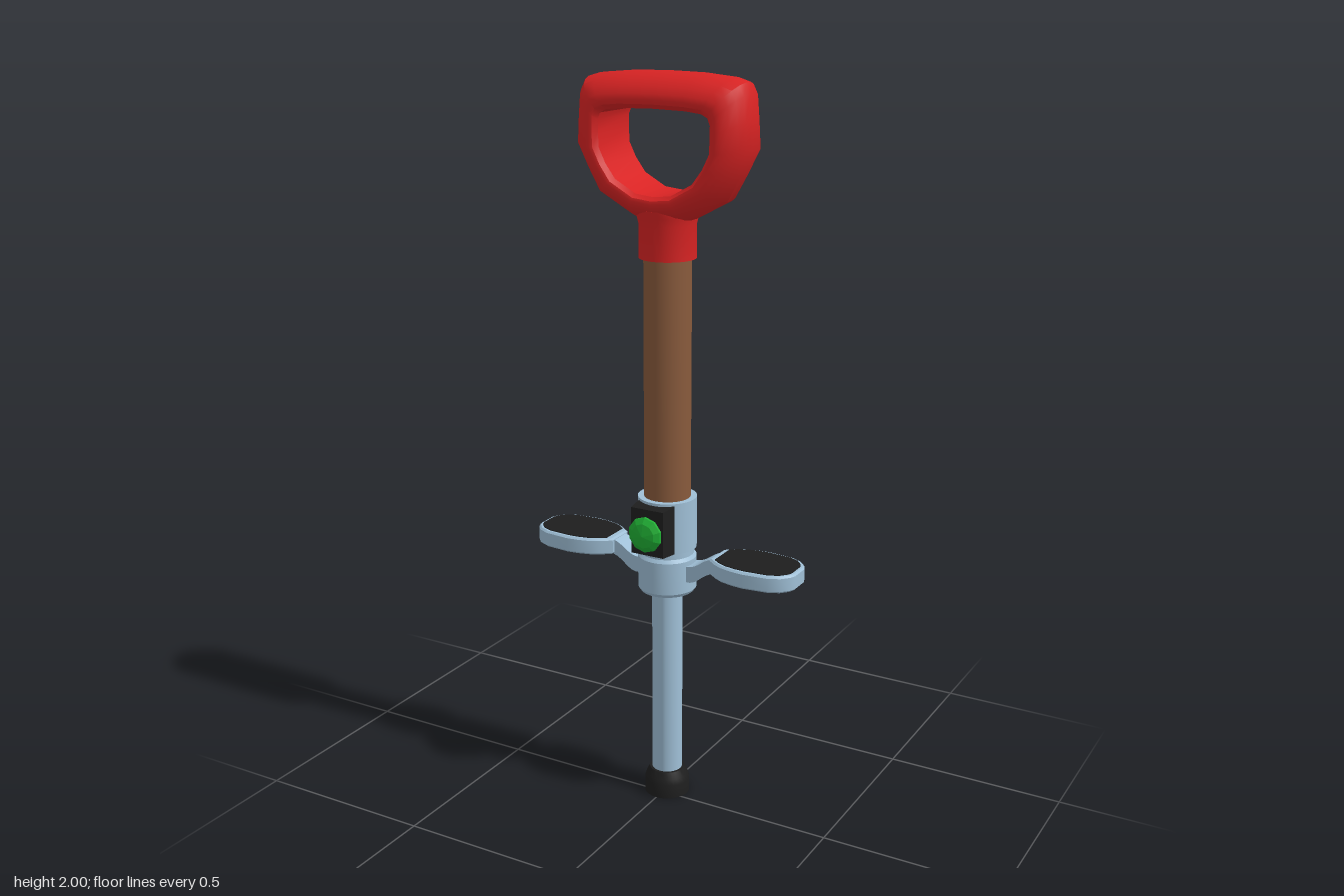
import * as THREE from 'three';
import { toCreasedNormals } from 'three/addons/utils/BufferGeometryUtils.js';

const material = (name, color) => {
  const m = new THREE.MeshStandardMaterial({ color });
  m.name = name;
  return m;
};

// Closed loop of D-shaped sections between an inner and an outer outline
function gripGeometry() {
  const outer = [[0, 2], [0.1, 1.998], [0.19, 1.99], [0.223, 1.98], [0.236, 1.955], [0.242, 1.89],
    [0.247, 1.82], [0.214, 1.755], [0.178, 1.69], [0.075, 1.635], [0, 1.625]];
  const inner = [[0, 1.913], [0.09, 1.911], [0.135, 1.906], [0.152, 1.897], [0.159, 1.88], [0.159, 1.85],
    [0.157, 1.81], [0.138, 1.772], [0.11, 1.735], [0.05, 1.702], [0, 1.697]];
  const mirror = (p) => [...p, ...p.slice(1, -1).reverse().map(([x, y]) => [-x, y])];
  const O = mirror(outer), I = mirror(inner);
  // [fraction from inner to outer, half depth]
  const half = [[0, 0.076], [0.13, 0.089], [0.25, 0.0915], [0.42, 0.088], [0.62, 0.077],
    [0.8, 0.06], [0.93, 0.038], [1, 0.014]];
  const section = [...half, ...half.slice().reverse().map(([t, z]) => [t, -z])];
  const n = O.length, m = section.length, pos = [], idx = [];
  for (let i = 0; i < n; i++) {
    for (const [t, z] of section) {
      pos.push(I[i][0] + (O[i][0] - I[i][0]) * t, I[i][1] + (O[i][1] - I[i][1]) * t, z);
    }
  }
  for (let i = 0; i < n; i++) {
    for (let j = 0; j < m; j++) {
      const a = i * m + j, b = i * m + (j + 1) % m;
      const c = ((i + 1) % n) * m + j, d = ((i + 1) % n) * m + (j + 1) % m;
      idx.push(a, c, b, b, c, d);
    }
  }
  const g = new THREE.BufferGeometry();
  g.setAttribute('position', new THREE.Float32BufferAttribute(pos, 3));
  g.setIndex(idx);
  return toCreasedNormals(g, 0.6);
}

const lathe = (points, sides = 32) => toCreasedNormals(
  new THREE.LatheGeometry(points.map(([r, y]) => new THREE.Vector2(r, y)), sides), 0.5);

// Horizontal plate from an x/z half outline, standing on y
function plate(outline, y, height, bevel) {
  const pts = [...outline, ...outline.slice().reverse().map(([x, z]) => [x, -z])];
  const shape = new THREE.Shape(pts.map(([x, z]) => new THREE.Vector2(x, z)));
  const g = new THREE.ExtrudeGeometry(shape, {
    depth: height - 2 * bevel, bevelEnabled: bevel > 0, bevelSize: bevel,
    bevelOffset: -bevel, bevelThickness: bevel, bevelSegments: 1,
  });
  g.rotateX(-Math.PI / 2).translate(0, y + bevel, 0);
  return toCreasedNormals(g, 0.6);
}

export function createModel() {
  const red = material('red grip', 0xd82323);
  const brown = material('brown shaft', 0x885a3c);
  const steel = material('blue grey metal', 0x9fbfd6);
  const black = material('black rubber', 0x1e1e1e);
  const green = material('green knob', 0x1fae34);

  const model = new THREE.Group();
  model.name = 'pogoStick';
  const add = (name, geometry, mat, parent = model) => {
    const mesh = new THREE.Mesh(geometry, mat);
    mesh.name = name;
    parent.add(mesh);
    return mesh;
  };

  // Handle and shafts
  add('handleGrip', gripGeometry(), red);
  add('handleNeck', lathe([[0, 1.533], [0.075, 1.533], [0.075, 1.622], [0.08, 1.642], [0.083, 1.66], [0, 1.68]]), red);
  add('upperShaft', lathe([[0, 0.87], [0.063, 0.87], [0.063, 1.54], [0, 1.54]]), brown);
  add('lowerTube', lathe([[0, 0.06], [0.042, 0.06], [0.042, 0.64], [0, 0.64]]), steel);
  add('foot', lathe([[0, 0], [0.063, 0], [0.063, 0.04], [0.058, 0.055], [0.049, 0.074], [0, 0.074]]), black);

  // Collar with a groove between its two halves
  add('collar', lathe([[0, 0.618], [0.073, 0.618], [0.08, 0.628], [0.08, 0.718], [0.073, 0.727],
    [0.073, 0.743], [0.08, 0.745], [0.08, 0.888], [0.062, 0.888]]), steel);

  // Clamp block, narrower at its front
  const block = new THREE.BoxGeometry(0.116, 0.14, 0.08);
  const p = block.attributes.position;
  for (let i = 0; i < p.count; i++) {
    if (p.getZ(i) > 0) p.setXY(i, p.getX(i) * 0.84, p.getY(i) * 0.92);
  }
  block.computeVertexNormals();
  add('clampBlock', block, black).position.set(0, 0.814, 0.07);

  // Faceted knob
  const knobShape = new THREE.LatheGeometry([[0, 0], [0.04, 0], [0.049, 0.008], [0.049, 0.015],
    [0.034, 0.025], [0, 0.031]].map(([r, y]) => new THREE.Vector2(r, y)), 10);
  const knob = add('knob', toCreasedNormals(knobShape, 0.1), green);
  knob.rotation.x = Math.PI / 2;
  knob.position.set(0, 0.812, 0.109);

  // Footrests
  const outline = [[0.15, -0.04], [0.175, -0.06], [0.2, -0.074], [0.235, -0.083], [0.27, -0.087],
    [0.34, -0.08], [0.371, -0.066], [0.389, -0.045], [0.396, -0.028]];
  const padOutline = [[0.168, -0.042], [0.187, -0.056], [0.208, -0.066], [0.24, -0.073], [0.27, -0.075],
    [0.335, -0.07], [0.363, -0.058], [0.379, -0.04], [0.385, -0.026]];
  const arm = new THREE.Shape();
  arm.moveTo(0.06, 0.66);
  arm.lineTo(0.085, 0.66);
  arm.bezierCurveTo(0.115, 0.665, 0.125, 0.698, 0.17, 0.702);
  arm.lineTo(0.17, 0.744);
  arm.bezierCurveTo(0.12, 0.738, 0.115, 0.706, 0.075, 0.704);
  arm.lineTo(0.06, 0.704);
  const armGeometry = toCreasedNormals(new THREE.ExtrudeGeometry(arm,
    { depth: 0.06, bevelEnabled: false, curveSegments: 8 }).translate(0, 0, -0.03), 0.6);
  const restGeometry = plate(outline, 0.7, 0.046, 0.005);
  const padGeometry = plate(padOutline, 0.743, 0.005, 0);
  for (const [side, turn] of [['left', 0], ['right', Math.PI]]) {
    const rest = new THREE.Group();
    rest.name = side + 'Footrest';
    rest.rotation.y = turn;
    add(side + 'Arm', armGeometry, steel, rest);
    add(side + 'Plate', restGeometry, steel, rest);
    add(side + 'Pad', padGeometry, black, rest);
    model.add(rest);
  }

  // Shift the stick back so the knob balances the depth
  for (const part of model.children) part.position.z -= 0.025;
  return model;
}
